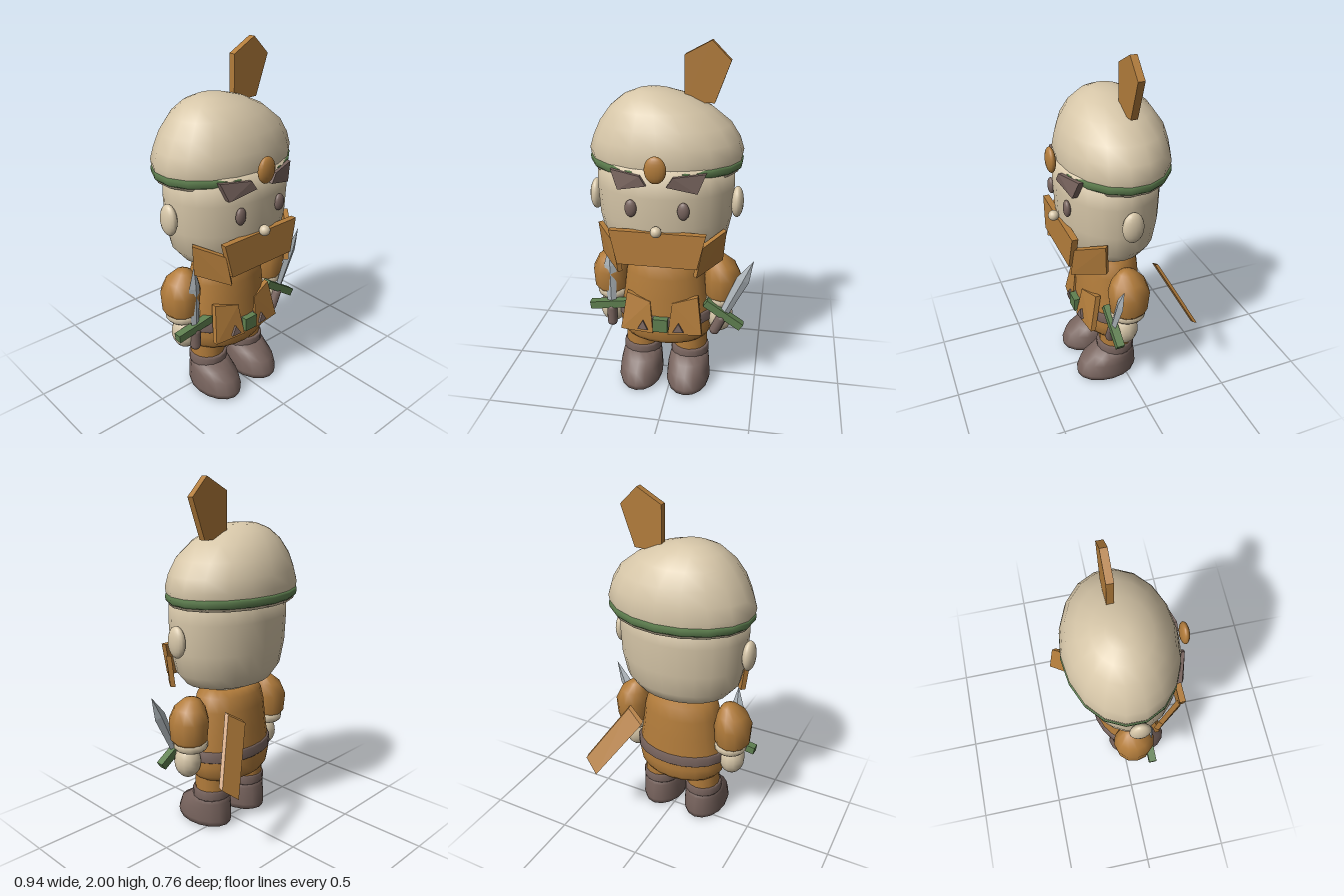
import * as THREE from 'three';
import { mergeVertices } from 'three/addons/utils/BufferGeometryUtils.js';
import { ConvexGeometry } from 'three/addons/geometries/ConvexGeometry.js';

const paint = (name, color) => {
  const m = new THREE.MeshStandardMaterial({ color });
  m.name = name;
  return m;
};

export function createModel() {
  const skin = paint('beige', 0xd6c6a8);
  const cloth = paint('ochre', 0xb27c3b);
  const leather = paint('brown', 0x78645e);
  const green = paint('green', 0x5f8050);
  const steel = paint('steel', 0xb2babf);

  const root = new THREE.Group();
  root.name = 'figure';
  // The body is symmetric about its own centre line
  const body = new THREE.Group();
  body.name = 'body';
  body.position.x = -0.037;
  root.add(body);

  const add = (name, geometry, material, parent = body) => {
    const mesh = new THREE.Mesh(geometry, material);
    mesh.name = name;
    parent.add(mesh);
    return mesh;
  };

  // Stack of elliptical sections [y, rx, rz, cx, cz], smooth and closed at both ends
  const loft = (sections, seg = 16) => {
    const first = sections[0], last = sections[sections.length - 1];
    const close = (s) => [s[0], 0.0005, 0.0005, s[3], s[4]];
    const all = [close(first), ...sections, close(last)];
    const g = new THREE.LatheGeometry(all.map((s) => new THREE.Vector2(1, s[0])), seg);
    const p = g.attributes.position;
    for (let i = 0; i < p.count; i++) {
      const [y, rx, rz, cx = 0, cz = 0] = all[i % all.length];
      p.setXYZ(i, cx + p.getX(i) * rx, y, cz + p.getZ(i) * rz);
    }
    g.deleteAttribute('normal');
    g.deleteAttribute('uv');
    const merged = mergeVertices(g, 1e-5);
    merged.computeVertexNormals();
    return merged;
  };

  // Flat-sided plate: corner points pushed along an offset
  const plate = (corners, offset) => {
    const a = corners.map((c) => new THREE.Vector3(...c));
    const o = new THREE.Vector3(...offset);
    return new ConvexGeometry([...a, ...a.map((v) => v.clone().add(o))]);
  };

  const ball = (name, material, pos, radii, seg = 16) => {
    const m = add(name, new THREE.SphereGeometry(1, seg, 12), material);
    m.position.set(...pos);
    m.scale.set(...radii);
    return m;
  };

  // Head and neck
  add('head', loft([[0.855, 0.2], [0.88, 0.28], [0.95, 0.338], [1.08, 0.366], [1.25, 0.375], [1.4, 0.368]]
    .map(([y, r]) => [y, r, r * 0.75, 0, 0.04]), 24), skin);
  add('neck', loft([[0.78, 0.16, 0.11, 0, 0.03], [0.87, 0.15, 0.105, 0, 0.03]]), skin);
  ball('nose', skin, [0, 1.08, 0.343], [0.03, 0.03, 0.03]);

  // Cap, its crown drifting to one side
  add('cap', loft([[1.335, 0.395, 0.29], [1.36, 0.405, 0.295], [1.43, 0.418, 0.303], [1.5, 0.396, 0.29],
    [1.58, 0.352, 0.267], [1.66, 0.272, 0.215], [1.715, 0.18, 0.15], [1.745, 0.09, 0.08], [1.75, 0.03, 0.03]]
    .map(([y, rx, rz]) => [y, rx, rz, y > 1.5 ? -0.07 * ((y - 1.5) / 0.25) ** 2 : 0, 0.007]), 18), skin);
  add('capBand', loft([[1.35, 0.405, 0.296], [1.362, 0.414, 0.304], [1.385, 0.417, 0.307], [1.398, 0.411, 0.3]]
    .map(([y, rx, rz]) => [y, rx, rz, 0, 0.007]), 18), green);
  ball('capJewel', cloth, [0, 1.417, 0.344], [0.057, 0.072, 0.026]);
  add('capFeather', plate([[0.055, 1.925, 0], [0.195, 2, 0], [0.295, 1.9, 0], [0.215, 1.68, 0], [0.055, 1.68, 0]],
    [0, 0, -0.038]), cloth, root);

  // Tunic, belt and buckle
  add('tunic', loft([[0.31, 0.238], [0.34, 0.263], [0.4, 0.275], [0.48, 0.268], [0.6, 0.246], [0.72, 0.232],
    [0.8, 0.212], [0.838, 0.165]].map(([y, r]) => [y, r, r * (y > 0.55 ? 0.73 : 0.7), 0, 0.035]), 20), cloth);
  add('belt', loft([[0.43, 0.273], [0.437, 0.283], [0.488, 0.28], [0.496, 0.268]]
    .map(([y, r]) => [y, r, r * 0.7, 0, 0.035]), 20), leather);
  add('buckle', new THREE.BoxGeometry(0.085, 0.08, 0.035), green).position.set(0, 0.457, 0.24);
  add('beardCentre', plate([[-0.258, 1.065, 0.325], [0.258, 1.065, 0.325], [0.215, 0.875, 0.335], [-0.215, 0.875, 0.335]],
    [0, 0, -0.035]), cloth);

  for (const s of [-1, 1]) {
    const side = s > 0 ? 'left' : 'right';
    const mirror = (pts) => pts.map(([x, y, z]) => [s * x, y, z]);

    // Face
    ball(side + 'Eye', leather, [s * 0.138, 1.19, 0.308], [0.032, 0.048, 0.02]);
    ball(side + 'Ear', skin, [s * 0.392, 1.155, 0.038], [0.035, 0.088, 0.06]);
    add(side + 'Brow', plate(mirror([[0.248, 1.385, 0.275], [0.208, 1.285, 0.3], [0.053, 1.325, 0.335], [0.085, 1.375, 0.33]]),
      [0, 0, -0.03]), leather);
    add(side + 'BeardPlate', plate(mirror([[0.352, 1.04, 0.175], [0.335, 0.86, 0.165], [0.212, 0.82, 0.325], [0.24, 0.99, 0.31]]),
      [-s * 0.02, 0, -0.02]), cloth);

    // Tunic front flaps with studs
    add(side + 'Flap', plate(mirror([[0.203, 0.617, 0.18], [0.063, 0.585, 0.215], [0.043, 0.4, 0.248], [0.233, 0.4, 0.225]]),
      [0, 0, -0.03]), cloth);
    add(side + 'Stud', plate(mirror([[0.072, 0.42, 0.253], [0.132, 0.42, 0.248], [0.102, 0.472, 0.242]]),
      [0, 0, -0.02]), leather);

    // Arm
    add(side + 'Sleeve', loft([[0.565, 0.085, 0.09, 0.322], [0.59, 0.102, 0.108, 0.325], [0.7, 0.108, 0.12, 0.325],
      [0.77, 0.085, 0.095, 0.315], [0.815, 0.045, 0.05, 0.3], [0.825, 0.015, 0.015, 0.297]]
      .map(([y, rx, rz, x]) => [y, rx, rz, s * x, 0.03]), 12), cloth);
    add(side + 'Cuff', loft([[0.525, 0.082], [0.54, 0.094], [0.565, 0.096], [0.58, 0.085]]
      .map(([y, r]) => [y, r, r * 1.05, s * 0.315, 0.03]), 16), skin);
    ball(side + 'Hand', skin, [s * 0.318, 0.447, 0.052], [0.076, 0.1, 0.078], 12);

    // Leg and boot
    add(side + 'Leg', new THREE.CylinderGeometry(0.1, 0.1, 0.2, 16), cloth).position.set(s * 0.143, 0.28, 0.035);
    add(side + 'BootCuff', loft([[0.175, 0.108], [0.185, 0.113], [0.225, 0.112], [0.235, 0.104]]
      .map(([y, r]) => [y, r, r, s * 0.143, 0.04])), leather);
    add(side + 'Boot', loft([[0.002, 0.095, 0.15, 0.1], [0.014, 0.122, 0.18, 0.1], [0.045, 0.129, 0.186, 0.1],
      [0.115, 0.124, 0.17, 0.088], [0.155, 0.117, 0.135, 0.062], [0.2, 0.105, 0.107, 0.04]]
      .map(([y, rx, rz, z]) => [y, rx, rz, s * 0.143, z])), leather);
  }

  // Daggers: diamond-section blade, cross guard and curved grip
  const dagger = (name, pos, tilt, guardTilt) => {
    const g = new THREE.Group();
    g.name = name;
    g.position.set(...pos);
    g.rotation.z = tilt;
    root.add(g);
    const pts = [[0, 0.385, 0]];
    for (const [y, w, d] of [[0, 0.025, 0.012], [0.25, 0.037, 0.016]]) {
      pts.push([w, y, 0], [-w, y, 0], [0, y, d], [0, y, -d]);
    }
    add('blade', new ConvexGeometry(pts.map((p) => new THREE.Vector3(...p))), steel, g);
    add('guard', new THREE.BoxGeometry(0.25, 0.045, 0.045), green, g).rotation.z = guardTilt;
    const grip = add('grip', new THREE.CapsuleGeometry(0.03, 0.085, 4, 10), leather, g);
    grip.position.y = -0.075;
  };
  dagger('rightDagger', [-0.345, 0.505, 0.13], 0, 0.14);
  dagger('leftDagger', [0.308, 0.497, 0.13], -0.42, -0.17);

  // Slanted scabbard plate behind the back
  const slope = (x, y) => [x, y, -0.165 - (0.775 - y) * 0.506];
  add('scabbard', plate([slope(0.2, 0.775), slope(0.1, 0.71), slope(0.32, 0.39), slope(0.405, 0.46)],
    [0, -0.012, -0.025]), cloth, root);

  return root;
}
